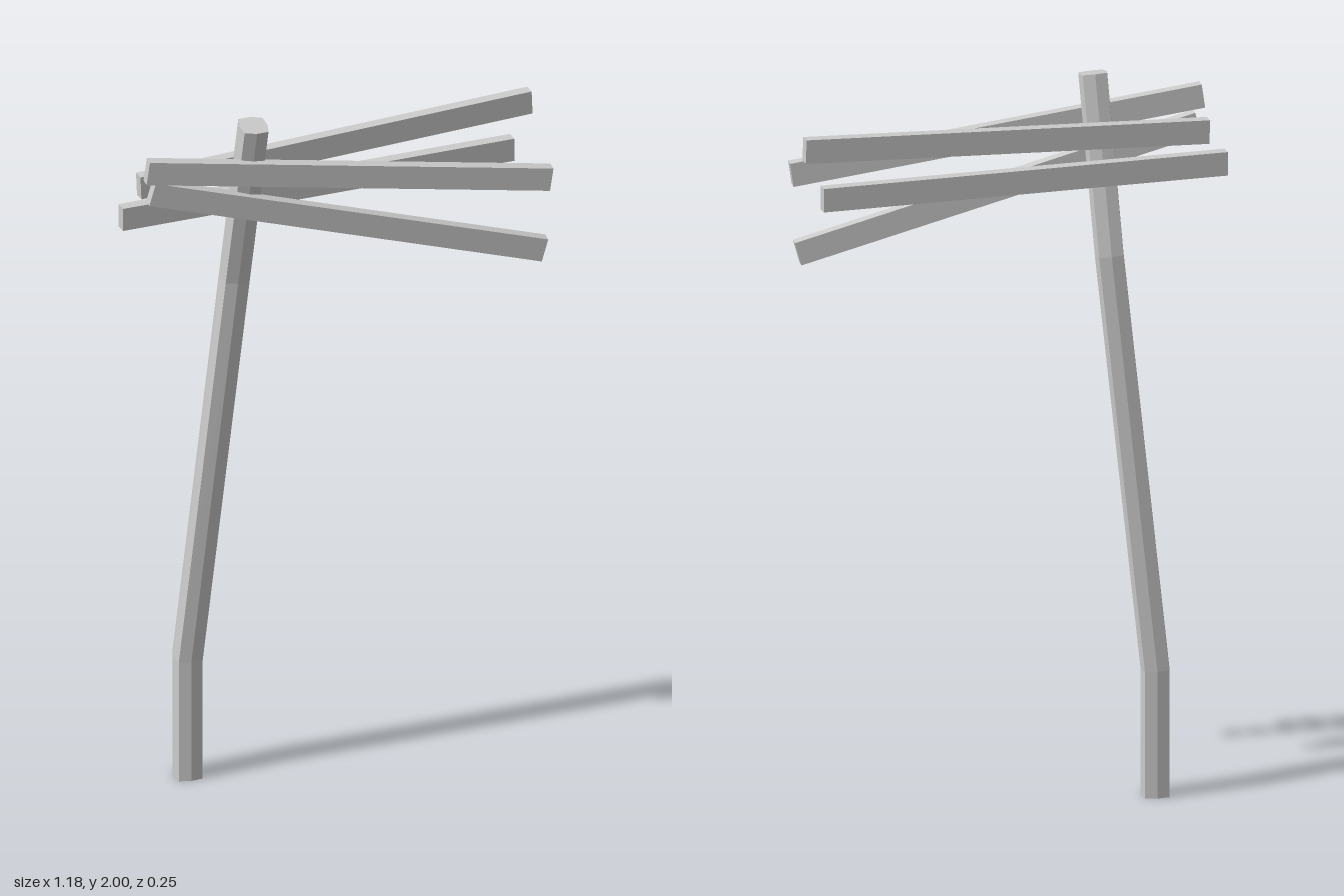
import * as THREE from 'three';

// Rings of the bent post: centre and slope of the cutting plane (towards x, z)
const RINGS = [
  { c: [-0.378, 0, -0.063], s: [0, 0] },
  { c: [-0.378, 0.355, -0.063], s: [0.05, 0.026] },
  { c: [-0.264, 1.505, -0.003], s: [0.075, 0.11] },
  { c: [-0.234, 1.992, 0.081], s: [0.06, 0.17] },
];

// Squarish eight-sided post, bent by moving each ring of a cylinder to its centre
function makePost(material) {
  const geo = new THREE.CylinderGeometry(0.039, 0.039, 3, 8, 3).toNonIndexed();
  const pos = geo.attributes.position;
  for (let i = 0; i < pos.count; i++) {
    // corners on the diagonals stand out further
    const corner = Math.abs(pos.getX(i) * pos.getZ(i)) > 1e-6 ? 1.2 : 1;
    const x = pos.getX(i) * corner, z = pos.getZ(i) * corner;
    const { c, s } = RINGS[Math.round(pos.getY(i) + 1.5)];
    pos.setXYZ(i, c[0] + x, c[1] - s[0] * x - s[1] * z, c[2] + z);
  }
  geo.computeVertexNormals();
  const post = new THREE.Mesh(geo, material);
  post.name = 'bentPost';
  return post;
}

// Planks: centre, yaw about y and tilt about z in degrees
const PLANKS = [
  { name: 'frontUpperPlank', at: [0.023, 1.825, 0.107], yaw: 0, tilt: -8.2 },
  { name: 'frontLowerPlank', at: [0.024, 1.68, 0.091], yaw: 0, tilt: -15.7 },
  { name: 'backLowerPlank', at: [-0.026, 1.737, -0.04], yaw: 6.9, tilt: 0 },
  { name: 'backUpperPlank', at: [0.022, 1.851, -0.035], yaw: 6.9, tilt: 2.4 },
];

export function createModel() {
  const model = new THREE.Group();
  model.name = 'signpost';
  const grey = new THREE.MeshStandardMaterial({ color: 0xcccccc });
  grey.name = 'lightGrey';

  model.add(makePost(grey));

  const plankGeo = new THREE.BoxGeometry(1.132, 0.066, 0.032);
  for (const { name, at, yaw, tilt } of PLANKS) {
    const plank = new THREE.Mesh(plankGeo, grey);
    plank.name = name;
    plank.position.set(...at);
    plank.rotation.set(0, THREE.MathUtils.degToRad(yaw), THREE.MathUtils.degToRad(tilt));
    model.add(plank);
  }
  return model;
}
